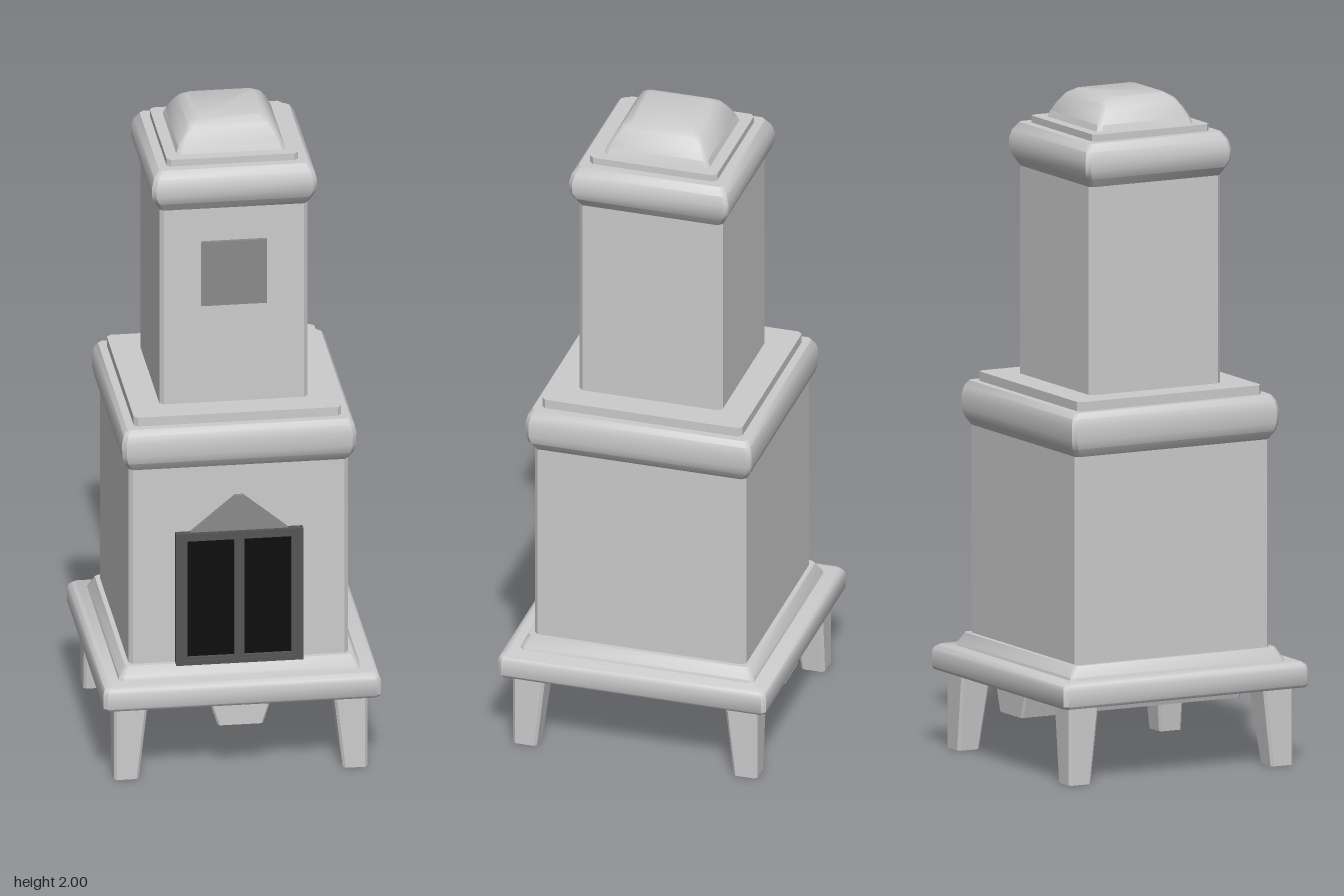
import * as THREE from 'three';
import { toCreasedNormals } from 'three/addons/utils/BufferGeometryUtils.js';

const stone = new THREE.MeshStandardMaterial({ color: 0xcccccc });
const trim = new THREE.MeshStandardMaterial({ color: 0x8a8a8a });
const iron = new THREE.MeshStandardMaterial({ color: 0x555555 });
const soot = new THREE.MeshStandardMaterial({ color: 0x0c0c0c });

// Horizontal rectangle with chamfered corners, as a loop of eight points
function ring(y, hx, hz, c = 0.012, cx = 0, cz = 0) {
  return [
    [-hx + c, hz], [hx - c, hz], [hx, hz - c], [hx, -hz + c],
    [hx - c, -hz], [-hx + c, -hz], [-hx, -hz + c], [-hx, hz - c],
  ].map(([x, z]) => [cx + x, y, cz + z]);
}

// Closed skin over a stack of rings, bottom to top
function loft(rings) {
  const n = rings[0].length, last = (rings.length - 1) * n, index = [];
  for (let i = 0; i < last; i += n) {
    for (let j = 0; j < n; j++) {
      const a = i + j, b = i + (j + 1) % n;
      index.push(a, b, b + n, a, b + n, a + n);
    }
  }
  for (let j = 1; j < n - 1; j++) {
    index.push(0, j + 1, j, last, last + j, last + j + 1);
  }
  const geo = new THREE.BufferGeometry();
  geo.setAttribute('position', new THREE.Float32BufferAttribute(rings.flat(2), 3));
  geo.setIndex(index);
  return toCreasedNormals(geo, 0.7);
}

// Square tier from a profile of [corner radius, height]
function tier(profile) {
  return loft(profile.map(([r, y]) => {
    const h = (r + 0.008) / Math.SQRT2;
    return ring(y, h, h);
  }));
}

function rectPath(path, x0, y0, x1, y1) {
  path.moveTo(x0, y0);
  path.lineTo(x1, y0);
  path.lineTo(x1, y1);
  path.lineTo(x0, y1);
  path.closePath();
  return path;
}

export function createModel() {
  const model = new THREE.Group();
  model.name = 'stove';
  const stove = new THREE.Group();
  stove.name = 'stoveBody';
  stove.rotation.y = 0.833; // firebox faces between front and side
  model.add(stove);

  function add(name, geo, mat = stone, x = 0, y = 0, z = 0) {
    const mesh = new THREE.Mesh(geo, mat);
    mesh.name = name;
    mesh.position.set(x, y, z);
    stove.add(mesh);
    return mesh;
  }

  // Stacked tiers
  const tiers = {
    baseSlab: [[0.57, 0.235], [0.577, 0.243], [0.577, 0.29], [0.57, 0.302], [0.555, 0.31]],
    basePlinth: [[0.505, 0.305], [0.5, 0.318], [0.475, 0.35]],
    lowerBody: [[0.455, 0.34], [0.455, 0.985]],
    lowerCornice: [[0.453, 0.972], [0.477, 1.0], [0.485, 1.025], [0.486, 1.065], [0.478, 1.09], [0.463, 1.107]],
    lowerCap: [[0.43, 1.1], [0.43, 1.135]],
    upperBody: [[0.305, 1.13], [0.305, 1.77]],
    upperCornice: [[0.303, 1.757], [0.325, 1.785], [0.34, 1.81], [0.34, 1.84], [0.33, 1.867], [0.308, 1.89]],
    upperCap: [[0.27, 1.885], [0.27, 1.911]],
    dome: [[0.225, 1.905], [0.212, 1.93], [0.19, 1.96], [0.165, 1.985], [0.132, 2]],
  };
  for (const [name, profile] of Object.entries(tiers)) add(name, tier(profile));

  // Legs: straight outside, tapering on the inner sides
  for (const sx of [-1, 1]) {
    for (const sz of [-1, 1]) {
      const section = (y, half) =>
        ring(y, half, half, 0.008, sx * (0.378 - half), sz * (0.378 - half));
      add('leg', loft([section(0, 0.037), section(0.25, 0.051)]));
    }
  }

  // Tapered beam under the base
  add('underBeam', loft([ring(0.155, 0.068, 0.37, 0.006), ring(0.245, 0.097, 0.37, 0.006)]));

  // Firebox door: frame with two openings, dark panels behind
  const face = 0.325;
  const frame = rectPath(new THREE.Shape(), -0.19, 0.345, 0.19, 0.768);
  for (const s of [-1, 1]) {
    frame.holes.push(rectPath(new THREE.Path(),
      Math.min(s * 0.015, s * 0.155), 0.368, Math.max(s * 0.015, s * 0.155), 0.742));
    add('doorPanel', new THREE.BoxGeometry(0.15, 0.384, 0.014), soot, s * 0.085, 0.555, face + 0.003);
  }
  add('doorFrame', new THREE.ExtrudeGeometry(frame, { depth: 0.026, bevelEnabled: false }),
    iron, 0, 0, face - 0.006);

  // Raised border around the door
  const border = rectPath(new THREE.Shape(), -0.19, 0.345, 0.19, 0.768);
  border.holes.push(rectPath(new THREE.Path(), -0.168, 0.36, 0.168, 0.752));
  add('doorBorder', new THREE.ExtrudeGeometry(border, { depth: 0.006, bevelEnabled: false }),
    iron, 0, 0, face + 0.019);

  // Pediment above the door
  const gable = new THREE.Shape();
  gable.moveTo(-0.15, 0.765);
  gable.lineTo(0.15, 0.765);
  gable.lineTo(0.012, 0.88);
  gable.lineTo(-0.012, 0.88);
  gable.closePath();
  add('doorPediment', new THREE.ExtrudeGeometry(gable, { depth: 0.02, bevelEnabled: false }),
    trim, 0, 0, face - 0.006);

  // Small hatch on the upper tier
  add('upperHatch', new THREE.BoxGeometry(0.195, 0.205, 0.02), trim, 0, 1.552, 0.222);

  return model;
}
